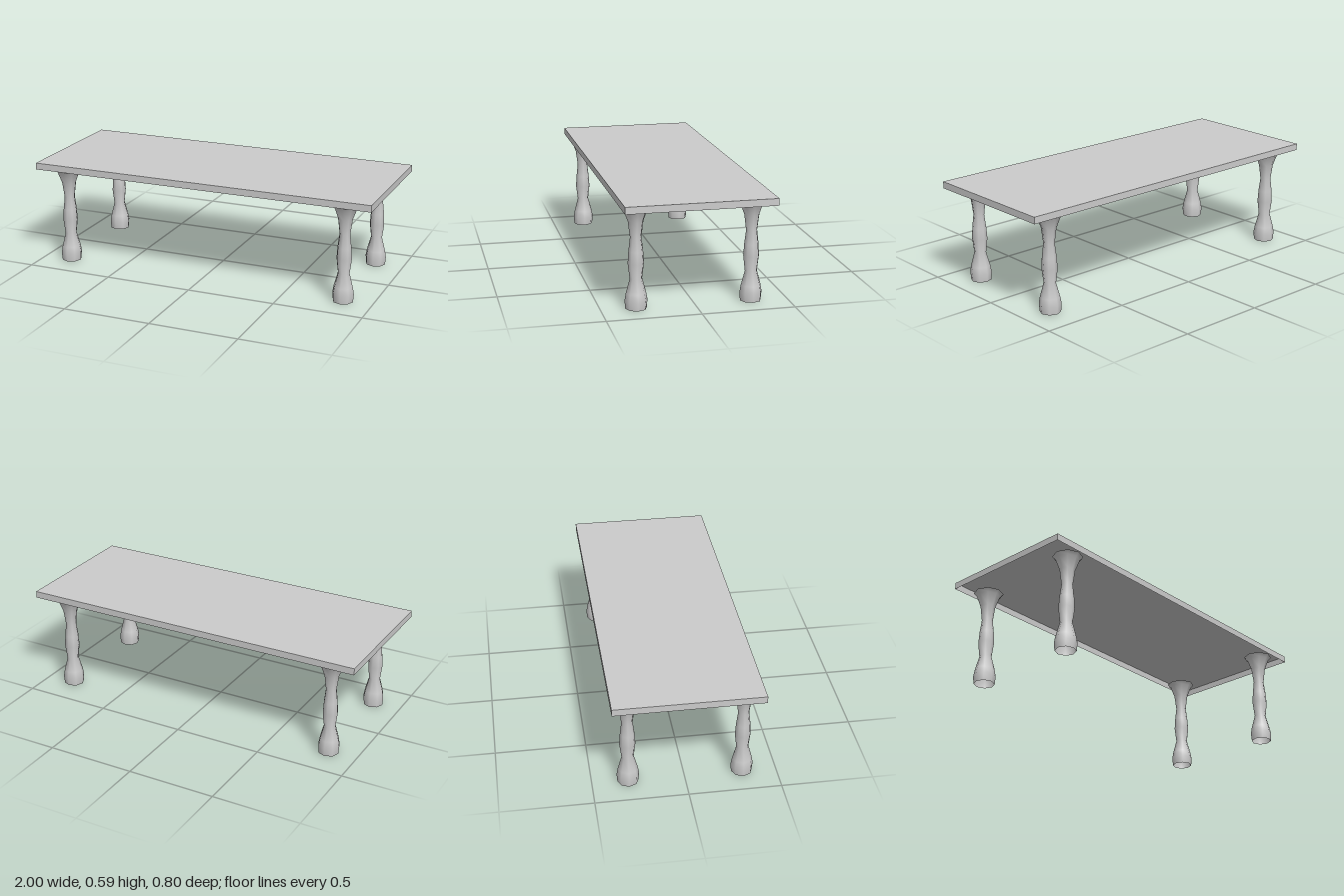
import * as THREE from 'three';

export function createModel() {
  const group = new THREE.Group();
  const material = new THREE.MeshStandardMaterial({ color: 0xcccccc, side: THREE.DoubleSide });

  // Tabletop: a shallow shell, open underneath (the box's downward face is dropped)
  const topHeight = 0.038, tableHeight = 0.59;
  const shell = new THREE.BoxGeometry(2, topHeight, 0.8);
  const index = Array.from(shell.index.array);
  index.splice(18, 6);
  shell.setIndex(index);
  shell.clearGroups();
  const tabletop = new THREE.Mesh(shell, material);
  tabletop.name = 'tabletop';
  tabletop.position.y = tableHeight - topHeight / 2;
  group.add(tabletop);

  // Turned leg: hollow, eight-sided, smooth shaded; pairs are [radius, height]
  const profile = [
    [0.057, 0], [0.061, 0.045], [0.054, 0.085], [0.033, 0.163],
    [0.043, 0.245], [0.039, 0.31], [0.030, 0.385], [0.041, 0.47],
    [0.065, 0.535], [0.0825, 0.552],
  ].map(([r, y]) => new THREE.Vector2(r, y));
  const legGeometry = new THREE.LatheGeometry(profile, 8);

  // One leg near each corner
  for (const [side, x] of [['Left', 0.834], ['Right', -0.836]]) {
    for (const [end, z] of [['front', 0.313], ['back', -0.305]]) {
      const leg = new THREE.Mesh(legGeometry, material);
      leg.name = `${end}${side}Leg`;
      leg.position.set(x, 0, z);
      group.add(leg);
    }
  }
  return group;
}
